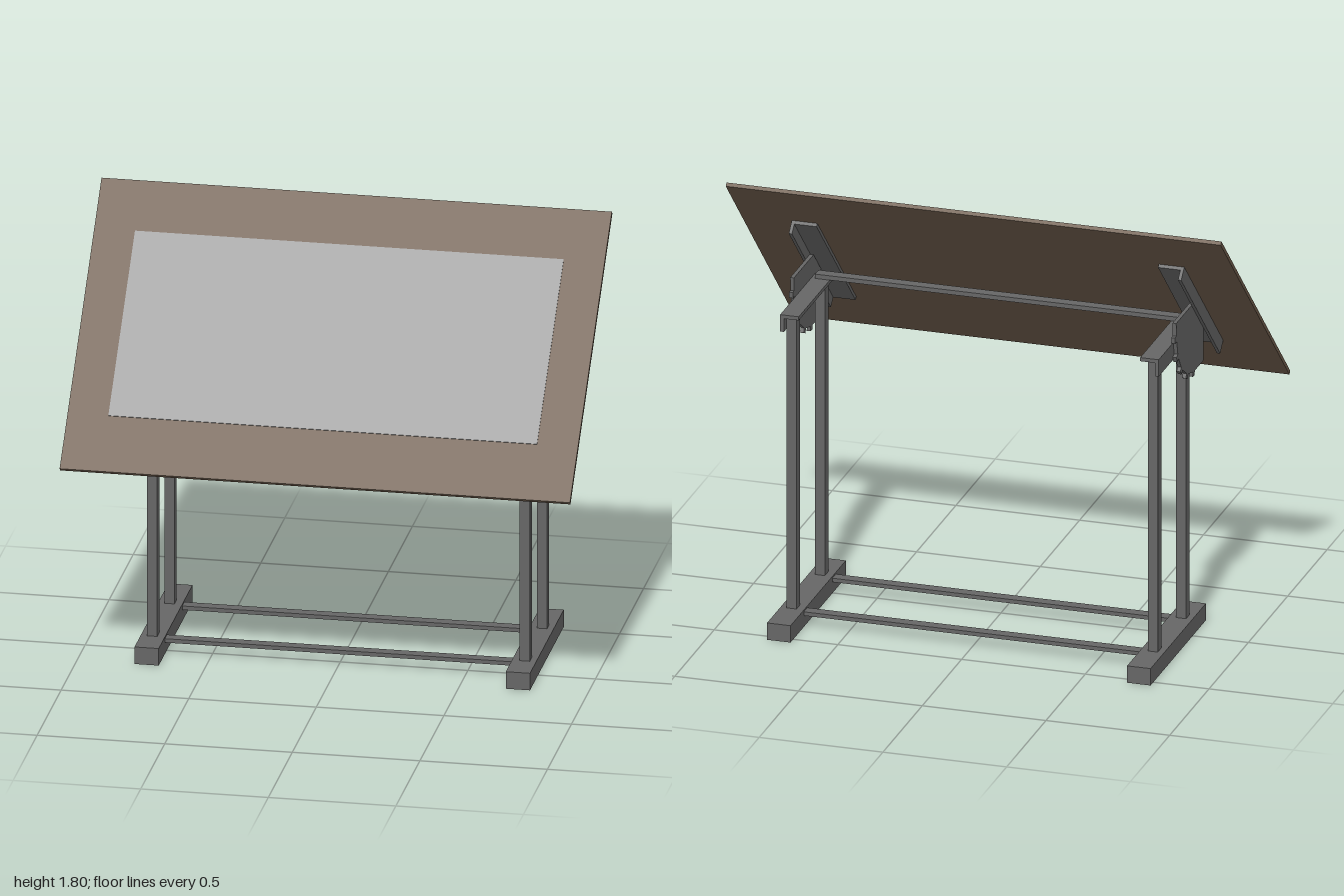
import * as THREE from 'three';

const wood = new THREE.MeshStandardMaterial({ color: 0x6e5c4b });
wood.name = 'brown board';
const paper = new THREE.MeshStandardMaterial({ color: 0x9c9c9c });
paper.name = 'grey paper';
const metal = new THREE.MeshStandardMaterial({ color: 0x666666 });
metal.name = 'dark grey metal';

// Box given by its extents along each axis
function box(parent, name, material, [x0, x1], [y0, y1], [z0, z1]) {
  const geometry = new THREE.BoxGeometry(Math.abs(x1 - x0), y1 - y0, z1 - z0);
  const mesh = new THREE.Mesh(geometry, material);
  mesh.position.set((x0 + x1) / 2, (y0 + y1) / 2, (z0 + z1) / 2);
  mesh.name = name;
  parent.add(mesh);
  return mesh;
}

// Toothed quadrant, drawn in (-z, y) and extruded along x
const PIVOT = { u: -0.015, y: 1.335, r: 0.237 };

function quadrantGeometry(thickness) {
  const shape = new THREE.Shape();
  shape.moveTo(-0.12, 1.29);
  shape.lineTo(-0.12, 1.098);
  for (let i = 0; i <= 4; i++) {
    const a = THREE.MathUtils.degToRad(4 + i * 20.5);
    shape.lineTo(PIVOT.u + PIVOT.r * Math.sin(a), PIVOT.y - PIVOT.r * Math.cos(a));
  }
  shape.lineTo(0.225, 1.385);
  shape.lineTo(-0.025, 1.385);
  const geometry = new THREE.ExtrudeGeometry(shape, { depth: thickness, bevelEnabled: false });
  return geometry.rotateY(Math.PI / 2);
}

export function createModel() {
  const model = new THREE.Group();
  model.name = 'draftingTable';

  // Tilted top: local y is the board normal, local -z runs up the slope
  const top = new THREE.Group();
  top.name = 'tiltedTop';
  top.position.set(0, 1.355, 0.09);
  top.rotation.x = Math.PI / 4;
  model.add(top);
  box(top, 'board', wood, [-1, 1], [-0.008, 0.008], [-0.6175, 0.6175]);
  box(top, 'paperSheet', paper, [-0.84, 0.84], [0.008, 0.011], [-0.403, 0.382]);

  for (const side of [-1, 1]) {
    const prefix = side > 0 ? 'left' : 'right';
    const span = (a, b) => [side * a, side * b];

    // Angle-section batten under the board
    box(top, prefix + 'BattenFlange', metal, span(0.69, 0.78), [-0.022, -0.008], [-0.35, 0.35]);
    box(top, prefix + 'BattenWeb', metal, span(0.78, 0.793), [-0.064, -0.008], [-0.35, 0.35]);

    // Foot and the two legs
    box(model, prefix + 'Foot', metal, span(0.68, 0.775), [0, 0.07], [-0.535, 0.168]);
    box(model, prefix + 'FrontLeg', metal, span(0.71, 0.75), [0.07, 1.285], [-0.005, 0.04]);
    box(model, prefix + 'RearLeg', metal, span(0.71, 0.75), [0.07, 1.285], [-0.365, -0.32]);

    // Angle-section rail joining the leg tops
    box(model, prefix + 'RailFlange', metal, span(0.69, 0.75), [1.285, 1.3], [-0.4, 0.05]);
    box(model, prefix + 'RailWeb', metal, span(0.75, 0.765), [1.23, 1.3], [-0.4, 0.05]);

    // Tilt quadrant with teeth along its curved edge
    const quadrant = new THREE.Mesh(quadrantGeometry(0.015), metal);
    quadrant.name = prefix + 'TiltQuadrant';
    quadrant.position.x = side > 0 ? 0.765 : -0.78;
    model.add(quadrant);
    for (let i = 0; i < 5; i++) {
      const a = THREE.MathUtils.degToRad(4 + i * 20.5);
      const tooth = new THREE.Mesh(new THREE.BoxGeometry(0.015, 0.036, 0.025), metal);
      tooth.name = prefix + 'QuadrantTooth';
      tooth.position.set(side * 0.7725, PIVOT.y - 0.236 * Math.cos(a), -PIVOT.u - 0.236 * Math.sin(a));
      tooth.rotation.x = a;
      model.add(tooth);
    }
  }

  // Long flat bars tying both ends together
  box(model, 'frontFootBar', metal, [-0.68, 0.68], [0.047, 0.063], [-0.005, 0.04]);
  box(model, 'rearFootBar', metal, [-0.68, 0.68], [0.047, 0.063], [-0.367, -0.322]);
  box(model, 'upperBar', metal, [-0.75, 0.75], [1.3, 1.318], [-0.005, 0.04]);

  return model;
}
